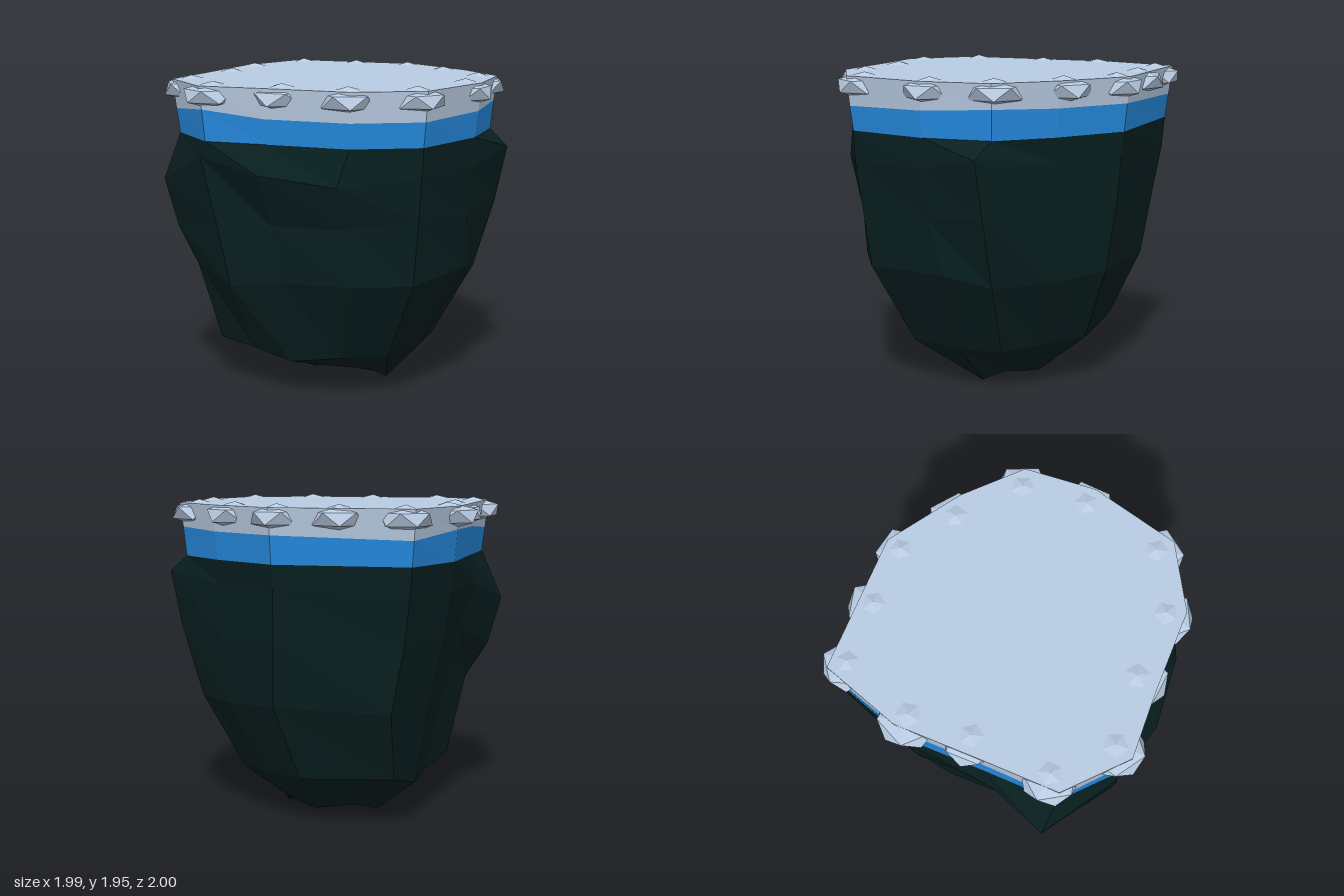
import * as THREE from 'three';

const COUNT = 12;

// Rim outline (x, z), running from the left side round the front
const outline = [
  [0.95, -0.07], [0.89, 0.5], [0.54, 0.78], [0, 0.87], [-0.39, 0.95], [-0.77, 0.7],
  [-0.83, 0.25], [-0.91, -0.3], [-0.82, -0.81], [0.03, -0.95], [0.5, -0.74], [0.85, -0.5],
];
// Uneven seam between the capstone and the coloured band
const seamHeights = [1.76, 1.75, 1.75, 1.75, 1.79, 1.75, 1.78, 1.79, 1.75, 1.77, 1.77, 1.78];
// Faceted stones set into the rim: centre x, z and radius
const rimStones = [
  [-0.73, -0.73, 0.17], [-0.35, -0.8, 0.18], [0.02, -0.85, 0.17], [0.37, -0.69, 0.185],
  [0.74, -0.45, 0.185], [0.84, -0.07, 0.18], [0.79, 0.44, 0.18], [0.47, 0.68, 0.185],
  [0.05, 0.73, 0.2], [-0.37, 0.83, 0.195], [-0.7, 0.6, 0.185], [-0.74, 0.11, 0.185],
  [-0.82, -0.26, 0.2],
];

function seeded(seed) {
  return () => {
    seed = (seed * 16807) % 2147483647;
    return seed / 2147483647;
  };
}

// Scaled copy of the outline at a height (or one height per corner)
function ring(y, sx = 1, sz = 1, dx = 0, dz = 0) {
  return outline.map(([x, z], i) =>
    new THREE.Vector3(x * sx + dx, Array.isArray(y) ? y[i] : y, z * sz + dz));
}

// Skin between rings listed from top to bottom, with optional end fans
function loft(rings, topCentre, bottomCentre) {
  const pos = [];
  const tri = (...pts) => pts.forEach((p) => pos.push(p.x, p.y, p.z));
  const last = rings[rings.length - 1];
  for (let i = 0; i < COUNT; i++) {
    const j = (i + 1) % COUNT;
    for (let r = 0; r < rings.length - 1; r++) {
      tri(rings[r][i], rings[r][j], rings[r + 1][i]);
      tri(rings[r][j], rings[r + 1][j], rings[r + 1][i]);
    }
    if (topCentre) tri(topCentre, rings[0][j], rings[0][i]);
    if (bottomCentre) tri(bottomCentre, last[i], last[j]);
  }
  const geo = new THREE.BufferGeometry();
  geo.setAttribute('position', new THREE.Float32BufferAttribute(pos, 3));
  geo.computeVertexNormals();
  return geo;
}

function material(name, color) {
  const m = new THREE.MeshStandardMaterial({ color, flatShading: true });
  m.name = name;
  return m;
}

export function createModel() {
  const group = new THREE.Group();
  group.name = 'rockPlatform';
  const paleStone = material('paleStone', 0xb9cce3);
  const blueBand = material('blueBand', 0x268ce2);
  const darkRock = material('darkRock', 0x081f20);

  const add = (name, geo, mat, parent = group) => {
    const mesh = new THREE.Mesh(geo, mat);
    mesh.name = name;
    parent.add(mesh);
    return mesh;
  };

  // Flat capstone and the band beneath it
  const seam = ring(seamHeights, 0.98, 0.98);
  const bandFoot = ring(1.6, 0.96, 0.96);
  add('capstone', loft([ring(1.93), seam], new THREE.Vector3(0, 1.93, 0)), paleStone);
  add('band', loft([seam, bandFoot]), blueBand);

  // Rugged rock body, tapering towards the ground
  const rugged = [
    ring(1.43, 0.94, 0.95),
    ring(1.13, 0.9, 0.91, 0.01),
    ring(0.74, 0.82, 0.86, 0.04),
    ring(0.26, 0.63, 0.63, -0.04, -0.03),
  ];
  const rand = seeded(29);
  rugged.forEach((points) => points.forEach((p) => {
    const s = 1 + (rand() - 0.5) * 0.02;
    p.set(p.x * s, p.y + (rand() - 0.5) * 0.06, p.z * s);
  }));
  // Ledges and corners that stand out from the taper
  const [upper, middle, lower, base] = rugged;
  upper[11].set(0.95, 1.5, -0.45);
  upper[0].set(0.91, 1.42, -0.05);
  upper[2].set(0.47, 1.38, 0.81);
  upper[3].set(0, 1.43, 0.93);
  upper[4].set(-0.43, 1.5, 0.89);
  upper[5].set(-0.88, 1.3, 0.66);
  upper[6].set(-0.82, 1.42, 0.28);
  middle[11].set(0.87, 1.15, -0.45);
  middle[5].set(-0.8, 1, 0.63);
  lower[0].set(0.83, 0.78, -0.15);
  lower[5].set(-0.65, 0.77, 0.63);
  base[5].set(-0.57, 0.28, 0.5);
  base[8].set(-0.58, 0.3, -0.5);
  base[3].set(0, 0.22, 0.57);
  // Small feet around a hollow underside
  const foot = ring(0.03, 0.3, 0.22, 0, -0.11);
  foot.forEach((p, i) => { p.y += [0, 0.02, 0.04][i % 3]; });
  foot[0].set(0.3, 0, -0.08);
  foot[3].set(-0.05, 0.07, 0.1);
  foot[7].set(-0.33, 0.02, -0.15);
  const hollow = new THREE.Vector3(-0.05, 0.14, -0.16);
  add('rockBody', loft([bandFoot, ...rugged, foot], null, hollow), darkRock);

  // Flattened faceted stones, each with a lower corner pointing outward
  const stones = new THREE.Group();
  stones.name = 'rimStones';
  group.add(stones);
  const stoneGeo = new THREE.IcosahedronGeometry(1, 0);
  stoneGeo.rotateZ(-Math.atan(2 / (1 + Math.sqrt(5))));
  rimStones.forEach(([x, z, radius]) => {
    const stone = add('rimStone', stoneGeo, paleStone, stones);
    stone.position.set(x, 1.868, z);
    stone.scale.set(radius, 0.082, radius);
    stone.rotation.y = Math.atan2(z, -x);
  });

  return group;
}
